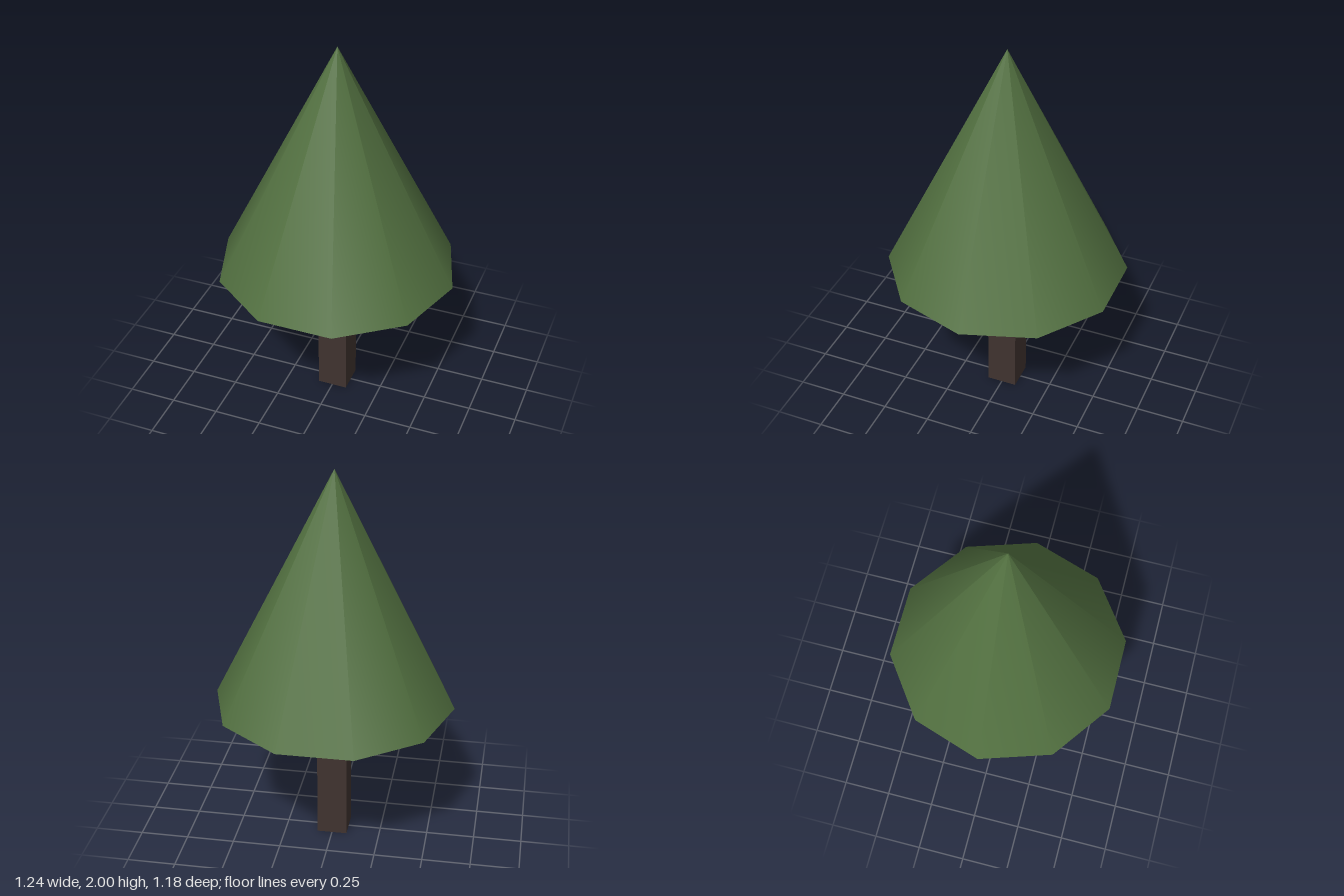
import * as THREE from 'three';

export function createModel() {
  const tree = new THREE.Group();
  tree.name = 'tree';

  const addPart = (name, geometry, color, y) => {
    const mesh = new THREE.Mesh(geometry, new THREE.MeshStandardMaterial({ color }));
    mesh.name = name;
    mesh.position.y = y;
    tree.add(mesh);
  };

  // Square trunk, its top meeting the underside of the foliage
  const trunkHeight = 0.765;
  addPart('trunk', new THREE.BoxGeometry(0.156, trunkHeight, 0.156), 0x40332f, trunkHeight / 2);

  // Ten-sided smooth cone with corners on the x axis and a closed base
  const coneHeight = 2 - trunkHeight;
  const cone = new THREE.ConeGeometry(0.618, coneHeight, 10, 1, false, Math.PI / 2);
  addPart('foliage', cone, 0x527040, trunkHeight + coneHeight / 2);

  return tree;
}
